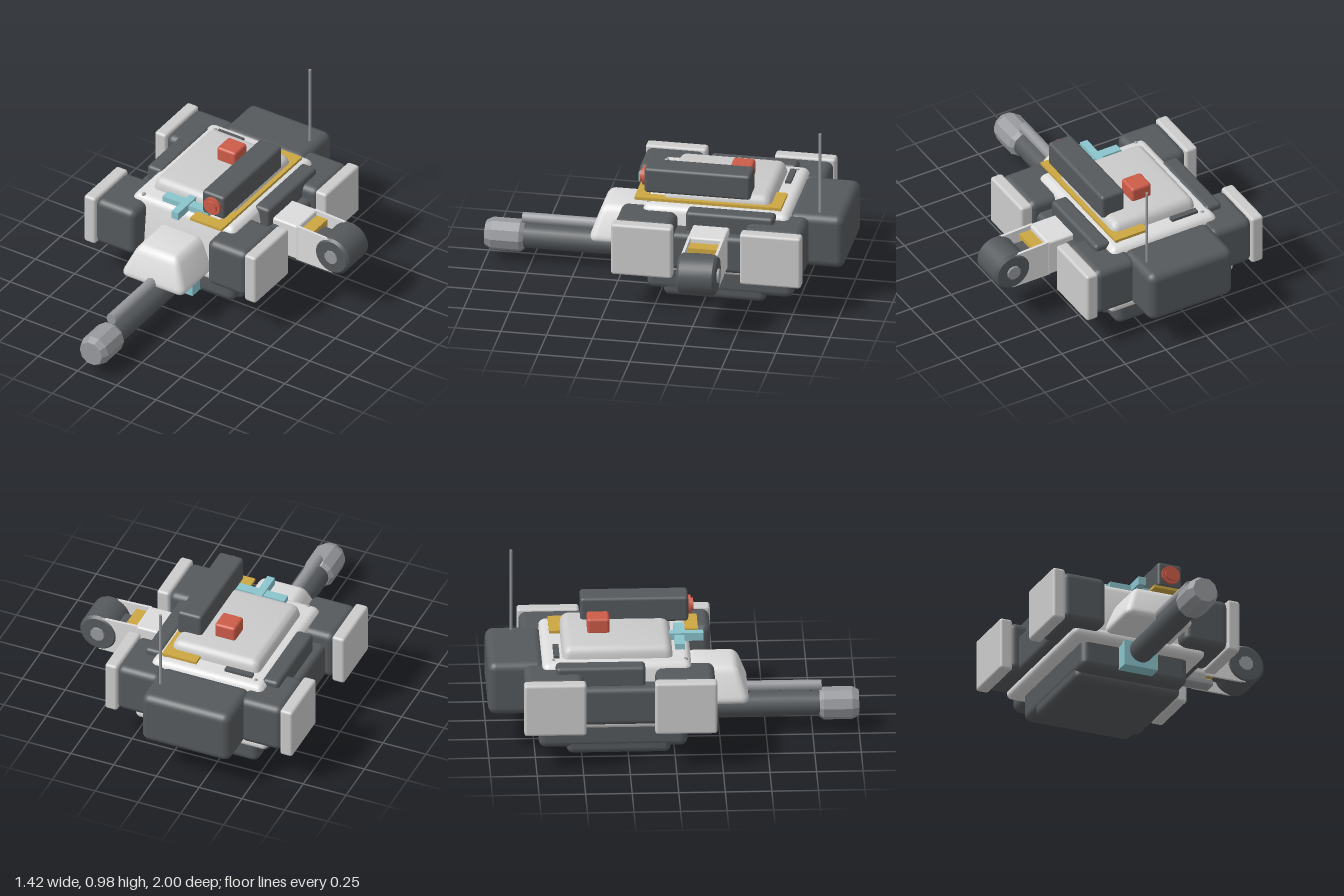
import * as THREE from 'three';
import { toCreasedNormals } from 'three/addons/utils/BufferGeometryUtils.js';
import { RoundedBoxGeometry } from 'three/addons/geometries/RoundedBoxGeometry.js';

const mat = (name, color) => {
  const m = new THREE.MeshStandardMaterial({ color });
  m.name = name;
  return m;
};

export function createModel() {
  const root = new THREE.Group();
  root.name = 'hoverTank';
  const light = mat('lightGrey', 0xdcdcdc);
  const panel = mat('panelGrey', 0xcbcbcb);
  const dark = mat('darkGrey', 0x55595c);
  const steel = mat('steel', 0x97999d);
  const gold = mat('gold', 0xcca743);
  const red = mat('red', 0xcd5b48);
  const cyan = mat('cyan', 0x8ac4cc);

  const add = (name, geo, m, x = 0, y = 0, z = 0, parent = root) => {
    const mesh = new THREE.Mesh(geo, m);
    mesh.name = name;
    mesh.position.set(x, y, z);
    parent.add(mesh);
    return mesh;
  };

  // Box given by its limits; r rounds the edges, tx and tz narrow the top
  const block = (name, m, [x0, x1], [y0, y1], [z0, z1], r = 0, tx = 1, tz = 1, shiftZ = 0) => {
    const w = x1 - x0, h = y1 - y0, d = z1 - z0;
    let geo = r ? new RoundedBoxGeometry(w, h, d, 3, r) : new THREE.BoxGeometry(w, h, d);
    if (tx !== 1 || tz !== 1) {
      const p = geo.attributes.position;
      for (let i = 0; i < p.count; i++) {
        const t = p.getY(i) / h + 0.5;
        p.setX(i, p.getX(i) * (1 + (tx - 1) * t));
        p.setZ(i, p.getZ(i) * (1 + (tz - 1) * t) + shiftZ * t);
      }
      geo = toCreasedNormals(geo, 0.7);
    }
    return add(name, geo, m, (x0 + x1) / 2, (y0 + y1) / 2, (z0 + z1) / 2);
  };

  // Cylinder lying along z
  const rod = (name, m, x, y, [z0, z1], r, sides) => {
    const geo = new THREE.CylinderGeometry(r, r, z1 - z0, sides).rotateX(Math.PI / 2);
    return add(name, geo, m, x, y, (z0 + z1) / 2);
  };

  const cx = -0.165; // hull centre line

  // Hull and underside
  block('hullSkirt', light, [-0.55, 0.22], [0.185, 0.25], [-0.79, 0.13], 0.03);
  block('hull', light, [-0.54, 0.21], [0.2, 0.54], [-0.76, 0.12], 0.04, 0.86, 0.9, 0.01);
  block('upperBelly', dark, [-0.475, 0.145], [0.04, 0.22], [-0.73, 0.07], 0.04);
  block('lowerBelly', dark, [-0.472, 0.142], [0.004, 0.14], [-0.58, -0.02], 0.035);
  block('sideCore', dark, [-0.6, 0.28], [0.225, 0.44], [-0.66, 0.05], 0.03);
  block('rearPack', dark, [-0.425, 0.095], [0.215, 0.52], [-1, -0.695], 0.045);

  // Corner pods and shoulder boxes, mirrored about the centre line
  for (const s of [-1, 1]) {
    const span = (a, b) => [cx + s * a, cx + s * b].sort((p, q) => p - q);
    for (const z of [-0.65, 0.053]) {
      block('cornerPod', dark, span(0.23, 0.485), [0.225, 0.51], [z - 0.16, z + 0.16], 0.04);
      block('podPlate', panel, span(0.475, 0.548), [0.217, 0.515], [z - 0.167, z + 0.167], 0.016);
    }
    block('shoulderBox', dark, span(0.295, 0.391), [0.425, 0.546], [-0.64, -0.16], 0.02);
    for (const z of [-0.65, 0.06])
      add('rivet', new THREE.SphereGeometry(0.013, 10, 6), steel, cx + s * 0.265, 0.533, z);
  }

  // Deck
  block('deckPlate', panel, [-0.43, 0.1], [0.5, 0.606], [-0.61, 0], 0.04, 0.93, 0.93);
  block('beacon', red, [-0.225, -0.105], [0.595, 0.685], [-0.46, -0.34], 0.015);
  block('deckSlot', dark, [-0.405, -0.245], [0.53, 0.555], [-0.648, -0.616]);
  block('crossBar', cyan, [-0.31, -0.02], [0.535, 0.57], [0.008, 0.062]);
  block('crossRail', cyan, [-0.188, -0.145], [0.535, 0.58], [-0.02, 0.165]);

  // C-shaped gold bracket
  const c = new THREE.Shape([[-0.085, -0.14], [0.115, -0.14], [0.115, 0.66], [-0.085, 0.66],
    [-0.085, 0.6], [0.06, 0.6], [0.06, -0.07], [-0.085, -0.07]].map(([x, y]) => new THREE.Vector2(x, y)));
  add('deckBracket', new THREE.ExtrudeGeometry(c, { depth: 0.016, bevelEnabled: false }).rotateX(-Math.PI / 2),
    gold, 0, 0.545, 0);

  // Sight with its lens
  block('sight', dark, [-0.042, 0.1], [0.583, 0.727], [-0.49, 0.09], 0.018);
  rod('lensRim', red, 0.029, 0.655, [0.08, 0.105], 0.052, 20);
  rod('lens', red, 0.029, 0.655, [0.1, 0.118], 0.036, 20);

  add('antenna', new THREE.CylinderGeometry(0.008, 0.008, 0.485, 10), steel, 0.037, 0.742, -0.86);

  // Main gun
  block('gunHousing', light, [-0.375, 0.045], [0.228, 0.428], [0.06, 0.415], 0.045, 0.59, 0.74, -0.025);
  block('gunCradle', cyan, [-0.262, -0.066], [0.055, 0.2], [0.03, 0.145]);
  rod('barrel', dark, cx, 0.15, [0.06, 0.81], 0.067, 16);
  rod('coaxialRod', steel, cx, 0.255, [0.25, 0.8], 0.031, 8);
  const profile = [[0, 0], [0.072, 0], [0.089, 0.022], [0.089, 0.175], [0.07, 0.212], [0, 0.212]]
    .map(([r, y]) => new THREE.Vector2(r, y));
  const muzzle = new THREE.LatheGeometry(profile, 10, Math.PI / 10).rotateX(Math.PI / 2);
  add('muzzle', toCreasedNormals(muzzle.toNonIndexed(), 0.3), steel, cx, 0.148, 0.788);

  // Side arm: block, two fork plates and a drum
  block('armBlock', light, [0.2, 0.385], [0.258, 0.475], [-0.4, -0.2], 0.012);
  const fork = new THREE.Shape();
  fork.moveTo(0.37, 0.258);
  fork.lineTo(0.6, 0.258);
  fork.absarc(0.6, 0.365, 0.1, -Math.PI / 2, Math.PI / 2, false);
  fork.lineTo(0.37, 0.475);
  for (const z of [-0.398, -0.217])
    add('armFork', new THREE.ExtrudeGeometry(fork, { depth: 0.015, bevelEnabled: false }), light, 0, 0, z);
  block('armInsert', gold, [0.38, 0.455], [0.3, 0.445], [-0.383, -0.217]);
  block('armCore', dark, [0.45, 0.56], [0.3, 0.42], [-0.35, -0.25]);
  block('armFoot', steel, [0.25, 0.44], [0.23, 0.27], [-0.34, -0.26], 0.012);
  const drumProfile = [[0, 0], [0.095, 0], [0.109, 0.014], [0.109, 0.196], [0.095, 0.21], [0, 0.21]]
    .map(([r, y]) => new THREE.Vector2(r, y));
  const drum = new THREE.LatheGeometry(drumProfile, 28).rotateX(Math.PI / 2);
  add('drum', toCreasedNormals(drum.toNonIndexed(), 0.5), dark, 0.6, 0.365, -0.405);
  rod('drumHub', steel, 0.6, 0.365, [-0.417, -0.187], 0.04, 10);

  return root;
}
